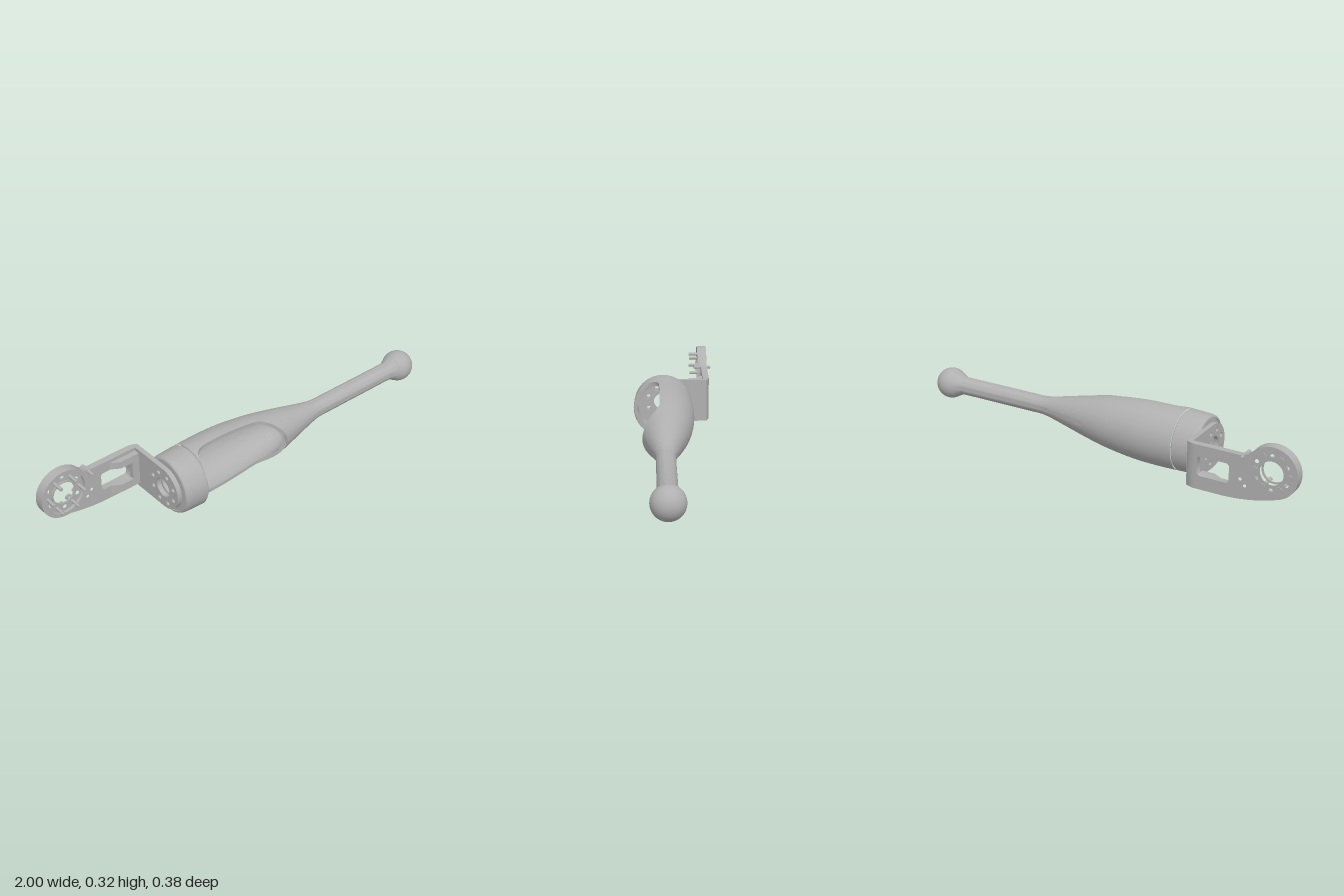
import * as THREE from 'three';
import { toCreasedNormals } from 'three/addons/utils/BufferGeometryUtils.js';

const CY = 0.144, CZ = 0.05;            // handle axis
const RX = -0.883, RY = 0.2, RR = 0.117; // mounting ring
const WALL = 0.016, CUT0 = -0.365, CUT1 = 0.12;

// smooth interpolation through [x, value] pairs
function sample(t, x) {
  const n = t.length;
  if (x <= t[0][0]) return t[0][1];
  if (x >= t[n - 1][0]) return t[n - 1][1];
  let i = 0;
  while (x > t[i + 1][0]) i++;
  const slope = k => {
    const a = t[Math.max(k - 1, 0)], b = t[Math.min(k + 1, n - 1)];
    return (b[1] - a[1]) / (b[0] - a[0]);
  };
  const h = t[i + 1][0] - t[i][0], s = (x - t[i][0]) / h, s2 = s * s, s3 = s2 * s;
  return (2 * s3 - 3 * s2 + 1) * t[i][1] + (s3 - 2 * s2 + s) * h * slope(i)
    + (3 * s2 - 2 * s3) * t[i + 1][1] + (s3 - s2) * h * slope(i + 1);
}
const RADIUS = [[-0.46, 0.137], [-0.4, 0.14], [-0.27, 0.143], [-0.15, 0.14], [0, 0.123], [0.12, 0.1],
  [0.25, 0.07], [0.33, 0.052], [0.38, 0.044], [0.44, 0.043], [0.85, 0.043]];
const CUT = [[-0.365, 0.175], [-0.361, 0.13], [-0.345, 0.096], [-0.315, 0.077], [-0.27, 0.071], [-0.03, 0.071],
  [0.015, 0.077], [0.06, 0.103], [0.12, 0.147]];
const radius = x => sample(RADIUS, x);
const range = (a, b, n) => Array.from({ length: n + 1 }, (_, i) => a + (b - a) * i / n);

export function createModel() {
  const model = new THREE.Group();
  const grey = new THREE.MeshStandardMaterial({ color: 0xb0b0b0 });
  const add = (name, geo, parent = model) => {
    const mesh = new THREE.Mesh(geo, grey);
    mesh.name = name;
    parent.add(mesh);
    return mesh;
  };
  // turned part along the handle axis, profile as [x, r]
  const turned = (name, pts) => {
    const g = new THREE.LatheGeometry(pts.map(([x, r]) => new THREE.Vector2(r, x)), 64);
    g.rotateZ(-Math.PI / 2);
    add(name, toCreasedNormals(g, 0.6)).position.set(0, CY, CZ);
  };
  const hole = (shape, x, y, r) => shape.holes.push(new THREE.Path().absarc(x, y, r, 0, Math.PI * 2, true));
  const extrude = (shape, depth) =>
    toCreasedNormals(new THREE.ExtrudeGeometry(shape, { depth, bevelEnabled: false, curveSegments: 24 }), 0.6);
  const disc = (x, y, r) => new THREE.Shape().absarc(x, y, r, 0, Math.PI * 2, false);
  const plateZ = (name, shape, z0, z1) => { add(name, extrude(shape, z1 - z0)).position.z = z0; };
  // shape drawn in (-z, y), thickness along x
  const plateX = (name, shape, x0, x1) => {
    const g = extrude(shape, x1 - x0);
    g.rotateY(Math.PI / 2);
    add(name, g).position.x = x0;
  };

  // collar around the open end of the handle
  const rc = radius(CUT0);
  turned('collar', [[CUT0, rc - WALL - 0.002], [-0.472, 0.121], [-0.481, 0.122], [-0.481, 0.126], [-0.478, 0.131],
    [-0.471, 0.135], ...range(-0.46, CUT0 - 0.005, 8).map(x => [x, radius(x)]), [CUT0, rc - 0.004], [CUT0, rc - WALL - 0.002]]);

  // hollow grip with a cut-away front
  const xs = [...range(CUT0, -0.31, 16), ...range(-0.3, -0.04, 16), ...range(-0.03, CUT1, 26)];
  const N = 48, M = 2 * (N + 1), pos = [], idx = [];
  xs.forEach((x, i) => {
    const c = sample(CUT, x) - CZ, r = radius(x);
    for (const [rad, dir] of [[r, 1], [r - WALL, -1]]) {
      const a = Math.acos(Math.min(1, c / rad));
      for (let j = 0; j <= N; j++) {
        const t = Math.PI + dir * (Math.PI - a) * (2 * j / N - 1);
        pos.push(x, CY + rad * Math.sin(t), CZ + rad * Math.cos(t));
      }
    }
    if (i) for (let j = 0; j < M; j++) {
      const k = (j + 1) % M, p = (i - 1) * M, q = i * M;
      idx.push(p + j, q + j, p + k, q + j, q + k, p + k);
    }
  });
  const grip = new THREE.BufferGeometry();
  grip.setAttribute('position', new THREE.Float32BufferAttribute(pos, 3));
  grip.setIndex(idx);
  add('grip', toCreasedNormals(grip, 0.6));

  // tapering neck and rod, closing the cavity
  const rin = radius(CUT1) - WALL;
  turned('neckAndRod', [[0.2, 0], [0.195, 0.025], [0.175, 0.052], [0.15, 0.071], [CUT1, rin], [CUT1, rin + WALL],
    ...range(0.125, 0.46, 30).map(x => [x, radius(x)]), [0.845, 0.043], [0.855, 0.046], [0.88, 0.058]]);
  add('ballEnd', new THREE.SphereGeometry(0.0735, 48, 32)).position.set(0.9265, CY, CZ);

  // bolt holes shared by the end wall and the flange
  const flangeHoles = shape => {
    hole(shape, -CZ, CY, 0.045);
    for (let k = 0; k < 8; k++) {
      const a = (k + 0.5) * Math.PI / 4;
      hole(shape, -CZ + 0.075 * Math.cos(a), CY + 0.075 * Math.sin(a), 0.011);
    }
    return shape;
  };
  plateX('endWall', flangeHoles(disc(-CZ, CY, 0.125)), -0.476, -0.462);

  // flange of the bracket, rounded at its front end
  const lo = 0.042, hi = 0.248, mid = (lo + hi) / 2;
  const flange = new THREE.Shape();
  flange.moveTo(0.16, lo);
  flange.lineTo(0.16, hi);
  flange.lineTo(-CZ, hi);
  flange.absarc(-CZ, mid, (hi - lo) / 2, Math.PI / 2, Math.PI * 1.5, false);
  flange.lineTo(0.16, lo);
  plateX('bracketFlange', flangeHoles(flange), -0.505, -0.483);

  // stacked slabs drawn in (x, -z), thickness along y
  const slabY = (name, pts, y0, y1) => {
    const g = extrude(new THREE.Shape(pts.map(p => new THREE.Vector2(p[0], -p[1]))), y1 - y0);
    g.rotateX(-Math.PI / 2);
    add(name, g).position.y = y0;
  };
  slabY('bracketCorner', [[-0.51, -0.145], [-0.483, -0.145], [-0.483, -0.158], [-0.49, -0.165], [-0.522, -0.175],
    [-0.53, -0.175], [-0.53, -0.145]], lo, hi);
  const wedge = [[-0.645, -0.147], [-0.6, -0.12], [-0.5, -0.12], [-0.5, -0.147]];
  slabY('cornerRibTop', wedge, 0.195, 0.23);
  slabY('cornerRibBottom', wedge, 0.065, 0.105);
  slabY('cornerWeb', [[-0.54, -0.147], [-0.54, -0.12], [-0.5, -0.12], [-0.5, -0.147]], 0.105, 0.195);

  // arm plate with its window and ring end
  const rad = d => d * Math.PI / 180;
  const arm = new THREE.Shape();
  arm.moveTo(-0.525, lo);
  arm.lineTo(-0.66, lo);
  arm.quadraticCurveTo(-0.8, 0.045, RX + RR * Math.cos(rad(250)), RY + RR * Math.sin(rad(250)));
  arm.absarc(RX, RY, RR, rad(250), rad(40), true);
  arm.quadraticCurveTo(-0.773, 0.25, -0.73, hi);
  arm.lineTo(-0.525, hi);
  arm.lineTo(-0.525, lo);
  const win = new THREE.Path();
  win.absarc(-0.675, 0.12, 0.015, Math.PI, Math.PI * 1.5);
  win.absarc(-0.555, 0.12, 0.015, -Math.PI / 2, 0);
  win.absarc(-0.555, 0.18, 0.015, 0, Math.PI / 2);
  win.absarc(-0.675, 0.18, 0.015, Math.PI / 2, Math.PI);
  win.closePath();
  arm.holes.push(win);
  hole(arm, RX, RY, 0.053);
  for (const [x, y] of [[-0.742, 0.14], [-0.765, 0.113]]) hole(arm, x, y, 0.007);
  const ringSpot = k => [RX + 0.078 * Math.cos(k * Math.PI / 6), RY + 0.078 * Math.sin(k * Math.PI / 6)];
  for (let k = 1; k < 12; k += 2) hole(arm, ...ringSpot(k), 0.009);
  plateZ('armPlate', arm, -0.175, -0.145);

  // raised rims on the ring
  const annulus = (r1, r0) => { const s = disc(RX, RY, r1); hole(s, RX, RY, r0); return s; };
  plateZ('ringRim', annulus(RR, 0.1), -0.146, -0.13);
  plateZ('ringHub', annulus(0.06, 0.053), -0.146, -0.138);

  // bolts through the ring, and the locating pin
  const rodZ = (name, x, y, r, z0, z1) => {
    const g = new THREE.CylinderGeometry(r, r, z1 - z0, 20);
    g.rotateX(Math.PI / 2);
    add(name, g).position.set(x, y, (z0 + z1) / 2);
  };
  for (let k = 0; k < 12; k += 2) {
    const [x, y] = ringSpot(k);
    rodZ('ringBolt', x, y, 0.008, -0.17, -0.09);
    rodZ('ringBoltHead', x, y, 0.014, -0.179, -0.17);
  }
  rodZ('locatingPin', -0.75, 0.243, 0.008, -0.193, -0.11);
  return model;
}
